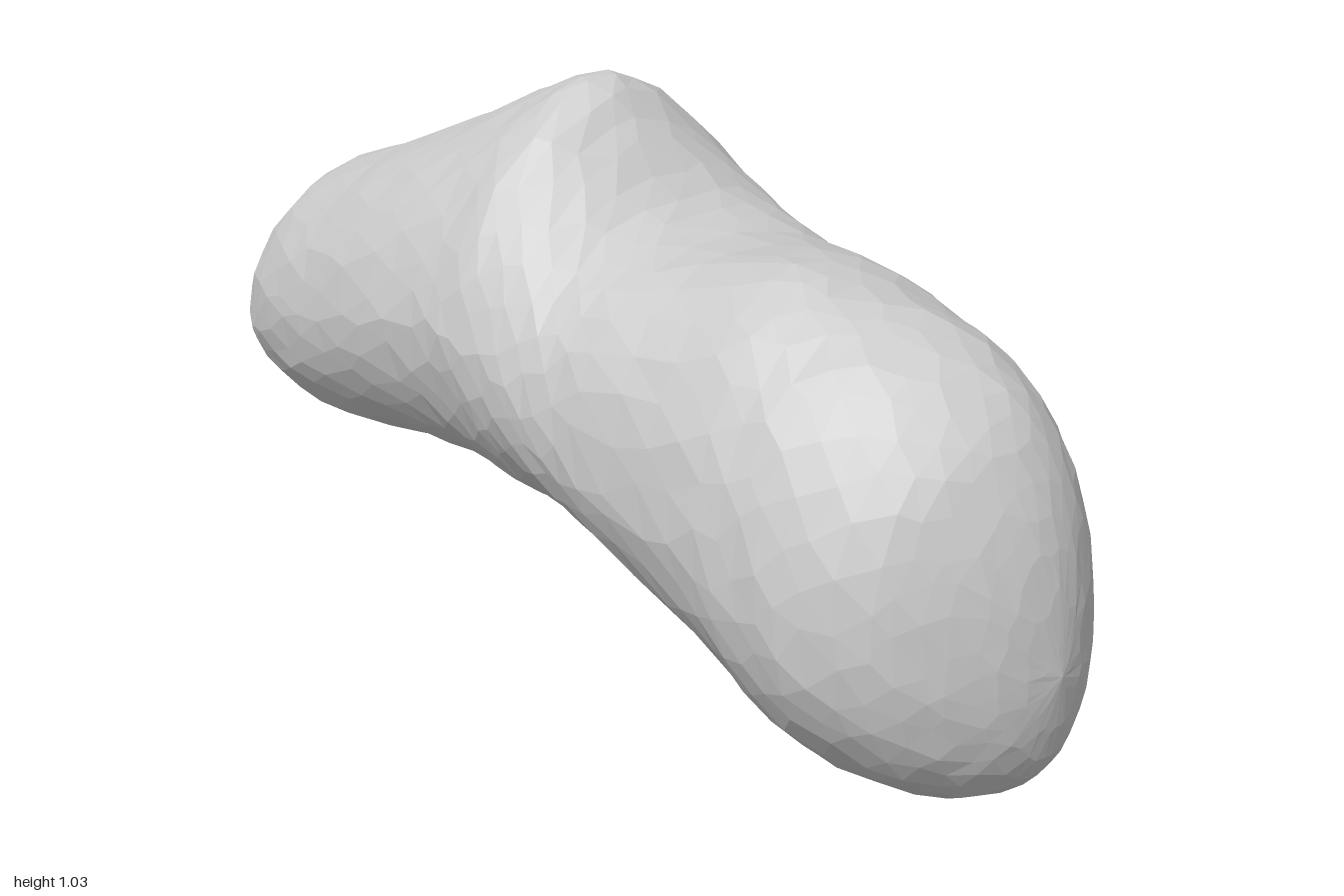
import * as THREE from 'three';

// Outline stations along the body: x, top y, bottom y, back z, front z
const STATIONS = [
  [-1.0, 0.43, 0.43, 0, 0],
  [-0.98, 0.52, 0.36, -0.1, 0.1],
  [-0.92, 0.62, 0.31, -0.18, 0.19],
  [-0.8, 0.74, 0.27, -0.235, 0.255],
  [-0.62, 0.81, 0.26, -0.268, 0.3],
  [-0.4, 0.905, 0.293, -0.305, 0.335],
  [-0.2, 1.0, 0.29, -0.335, 0.35],
  [-0.09, 1.03, 0.268, -0.345, 0.355],
  [0.0, 0.94, 0.27, -0.355, 0.35],
  [0.1, 0.84, 0.26, -0.36, 0.345],
  [0.22, 0.8, 0.21, -0.362, 0.343],
  [0.46, 0.83, 0.108, -0.348, 0.355],
  [0.6, 0.8, 0.03, -0.318, 0.36],
  [0.72, 0.765, 0.0, -0.285, 0.348],
  [0.84, 0.695, 0.008, -0.22, 0.29],
  [0.92, 0.59, 0.045, -0.16, 0.2],
  [0.975, 0.44, 0.12, -0.08, 0.1],
  [1.0, 0.26, 0.26, 0, 0],
];
const RINGS = 46; // even, so the last band ends on an unshifted ring
const SIDES = 30;

// Repeatable noise in -1..1
function makeNoise(seed) {
  return () => {
    seed = (seed * 16807) % 2147483647;
    return (seed / 2147483647) * 2 - 1;
  };
}

const bump = (x, centre, width) => Math.exp(-(((x - centre) / width) ** 2));

// One smooth curve per station column
const tracks = STATIONS[0].map((_, k) =>
  new THREE.SplineCurve(STATIONS.map((s, i) => new THREE.Vector2(i, s[k]))));

// Point on the skin: t runs along the body, a runs around it
function skinPoint(t, a) {
  const [x, top, bottom, back, front] = tracks.map((curve) => curve.getPoint(t).y);
  const c = Math.cos(a);
  const s = Math.sin(a);
  const upper = s > 0;
  const mid = THREE.MathUtils.lerp(bottom, top, 0.45);
  // The crest is pointed on the large lobe, flat on the neck and off-centre on the small lobe
  const round = upper ? 2 - 0.4 * bump(x, -0.16, 0.25) + 0.5 * bump(x, 0.2, 0.12) : 2;
  const apex = upper ? 0.07 * bump(x, 0.52, 0.2) - 0.06 * bump(x, 0.1, 0.1) : 0;
  const across = Math.sign(c) * Math.abs(c) ** (2 / round);
  const up = Math.abs(s) ** (2 / round);
  return [
    x,
    upper ? mid + (top - mid) * up : mid - (mid - bottom) * up,
    apex + across * (across > 0 ? front - apex : apex - back),
  ];
}

function rockGeometry() {
  const noise = makeNoise(4271);
  const positions = [];
  const index = [];

  // Staggered, slightly irregular rings give the faceted stone surface
  for (let i = 0; i <= RINGS; i++) {
    const jitter = i === 0 || i === RINGS ? 0 : 1;
    for (let j = 0; j < SIDES; j++) {
      const t = (i + noise() * 0.22 * jitter) / RINGS;
      const a = ((j + (i % 2) * 0.5 + noise() * 0.22) / SIDES) * Math.PI * 2;
      // The ends close to a single point
      const [x, y, z] = jitter ? skinPoint(t, a) : [tracks[0].getPoint(t).y, tracks[1].getPoint(t).y, 0];
      positions.push(x, Math.max(0, y + noise() * 0.003 * jitter), z + noise() * 0.003 * jitter);
    }
  }

  // Diagonals follow the stagger; flat triangles at the two ends are left out
  for (let i = 0; i < RINGS; i++) {
    for (let j = 0; j < SIDES; j++) {
      const k = (j + 1) % SIDES;
      const a = i * SIDES + j;
      const b = a + SIDES;
      const c = (i + 1) * SIDES + k;
      const d = i * SIDES + k;
      const [first, second] = i % 2 ? [[a, b, c], [a, c, d]] : [[a, b, d], [b, c, d]];
      if (i > 0 && i < RINGS - 1) index.push(...first);
      index.push(...second);
    }
  }

  const geometry = new THREE.BufferGeometry();
  geometry.setAttribute('position', new THREE.Float32BufferAttribute(positions, 3));
  geometry.setIndex(index);
  geometry.computeVertexNormals();
  return geometry;
}

export function createModel() {
  const model = new THREE.Group();
  model.name = 'asteroid';

  // Two-lobed rock with a ridge and a saddle between the lobes
  const rock = new THREE.Mesh(
    rockGeometry(),
    new THREE.MeshStandardMaterial({ color: 0xcccccc, flatShading: true }),
  );
  rock.name = 'rockBody';
  model.add(rock);
  return model;
}
